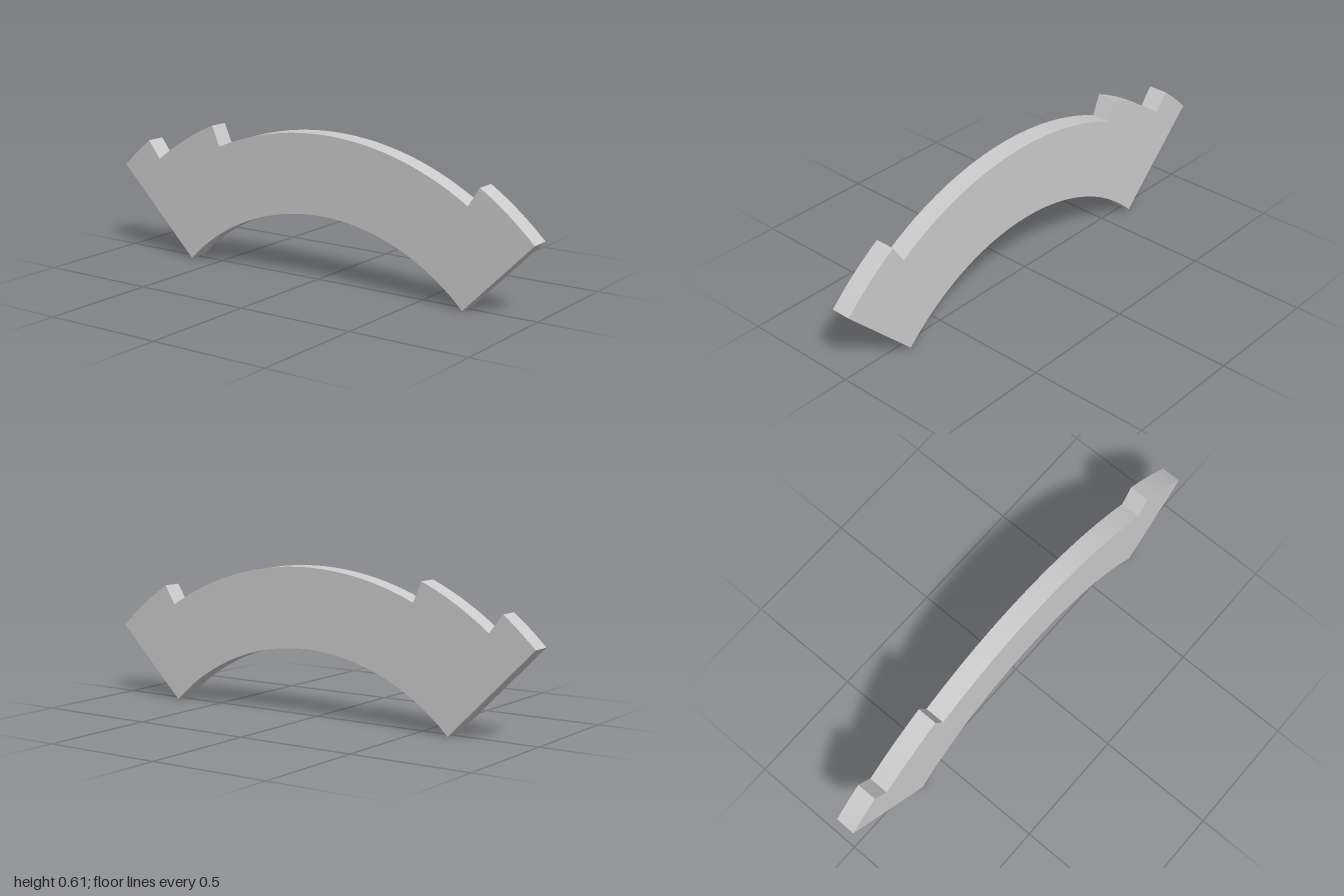
import * as THREE from 'three';
import { toCreasedNormals } from 'three/addons/utils/BufferGeometryUtils.js';

const DEPTH = 0.084;
const CENTER = [0.033, -0.668];
const INNER_RADIUS = 0.945;

// Outer edge from right to left: radius, start angle, end angle (degrees)
const OUTER_STEPS = [
  [1.367, 45, 57.6],
  [1.275, 57.6, 113.5],
  [1.367, 113.5, 127.85],
  [1.461, 127.85, 135],
];

export function createModel() {
  const group = new THREE.Group();
  group.name = 'steppedArcSegment';

  // Arc points about the shared centre, about one per 1.5 degrees
  const arc = (radius, from, to) => {
    const n = Math.ceil(Math.abs(to - from) / 1.5);
    return Array.from({ length: n + 1 }, (_, i) => {
      const a = THREE.MathUtils.degToRad(from + ((to - from) * i) / n);
      return new THREE.Vector2(CENTER[0] + radius * Math.cos(a), CENTER[1] + radius * Math.sin(a));
    });
  };

  // Stepped outer edge, closed by the plain inner arc
  const outline = [
    ...OUTER_STEPS.flatMap(([r, from, to]) => arc(r, from, to)),
    ...arc(INNER_RADIUS, 135, 45),
  ];
  const plate = new THREE.ExtrudeGeometry(new THREE.Shape(outline), { depth: DEPTH, bevelEnabled: false });
  plate.translate(0, 0, -DEPTH / 2);

  // Smooth along the arcs, sharp at steps and rims
  const mesh = new THREE.Mesh(
    toCreasedNormals(plate, Math.PI / 6),
    new THREE.MeshStandardMaterial({ color: 0xcccccc })
  );
  mesh.name = 'arcPlate';
  group.add(mesh);
  return group;
}
